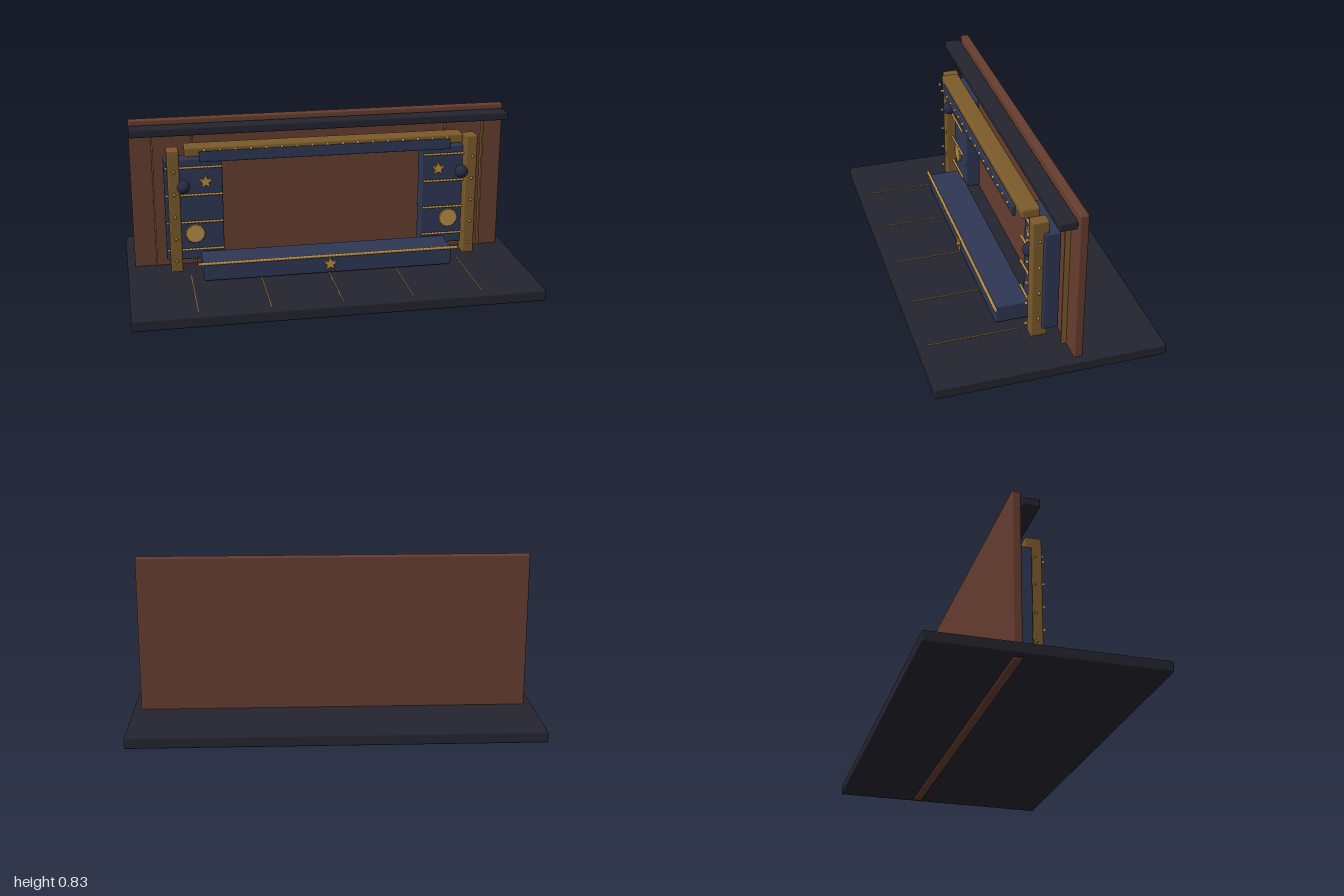
import * as THREE from 'three';
import { RoundedBoxGeometry } from 'three/addons/geometries/RoundedBoxGeometry.js';

const mat = (name, color) => Object.assign(new THREE.MeshStandardMaterial({ color }), { name });

export function createModel() {
  const model = new THREE.Group();
  model.name = 'stageFront';
  const wood = mat('red wood', 0x663d2f);
  const dark = mat('charcoal', 0x24242f);
  const blue = mat('navy blue', 0x2e3755);
  const ball = mat('deep navy', 0x242b45);
  const bronze = mat('bronze', 0x7a5a2a);
  const gold = mat('gold', 0xb98d45);

  const add = (name, geo, material, x = 0, y = 0, z = 0) => {
    const m = new THREE.Mesh(geo, material);
    m.name = name;
    m.position.set(x, y, z);
    model.add(m);
    return m;
  };
  // Softened box given by its limits on each axis
  const box = (name, material, x0, x1, y0, y1, z0, z1, r = 0.008) =>
    add(name, new RoundedBoxGeometry(x1 - x0, y1 - y0, z1 - z0, 2, r), material,
      (x0 + x1) / 2, (y0 + y1) / 2, (z0 + z1) / 2);

  // Beaded rope running along x
  const rope = (name, length, radius, x, y, z) => {
    const pts = [new THREE.Vector2(0, -length / 2)];
    const n = Math.round(length / 0.018) * 6;
    for (let i = 0; i <= n; i++) {
      const r = radius * (0.72 + 0.28 * Math.abs(Math.sin((i / 6) * Math.PI)));
      pts.push(new THREE.Vector2(r, -length / 2 + (length * i) / n));
    }
    pts.push(new THREE.Vector2(0, length / 2));
    add(name, new THREE.LatheGeometry(pts, 8), gold, x, y, z).rotation.z = -Math.PI / 2;
  };

  // Flat radial emblem with alternating outer and inner points
  const emblem = (points, outer, inner) => {
    const s = new THREE.Shape();
    for (let i = 0; i < points * 2; i++) {
      const a = Math.PI / 2 + (i * Math.PI) / points;
      const r = i % 2 ? inner : outer;
      s[i ? 'lineTo' : 'moveTo'](r * Math.cos(a), r * Math.sin(a));
    }
    s.closePath();
    return new THREE.ExtrudeGeometry(s, {
      depth: 0.006, bevelThickness: 0.002, bevelSize: 0.002, bevelSegments: 1,
    });
  };
  const star = emblem(5, 0.036, 0.016);
  const rosette = emblem(20, 0.049, 0.044);
  const stud = new THREE.SphereGeometry(0.008, 10, 8);

  // Floor, back wall and cornice
  box('floor', dark, -1, 1, 0.01, 0.065, -0.556, 0.556);
  box('backWall', wood, -0.96, 0.96, 0, 0.835, -0.155, -0.112);
  box('cornice', dark, -0.96, 0.96, 0.77, 0.812, -0.105, -0.02);

  // Inlaid floor lines
  for (let i = -2; i <= 2; i++) {
    add('floorLine', new THREE.BoxGeometry(0.005, 0.004, 0.45), bronze, i * 0.344, 0.065, 0.285);
  }

  for (const s of [-1, 1]) {
    // Wall battens
    for (const x of [0.65, 0.85]) {
      add('wallBatten', new THREE.BoxGeometry(0.008, 0.715, 0.026), bronze, s * x, 0.4225, -0.099);
    }
    // Side panel and post
    box('sidePanel', blue, s * 0.655 - 0.145, s * 0.655 + 0.145, 0.125, 0.655, -0.09, -0.012);
    box('post', bronze, s * 0.755 - 0.03, s * 0.755 + 0.03, 0.08, 0.715, -0.04, 0.04);
    // Panel trim
    for (const y of [0.185, 0.33, 0.473, 0.615]) rope('panelRope', 0.285, 0.007, s * 0.655, y, 0.005);
    add('panelStar', star, gold, s * 0.595, 0.535, -0.008);
    add('rosette', rosette, gold, s * 0.655, 0.265, -0.008);
    // Post studs and globe
    for (let i = 0; i < 5; i++) add('postStud', stud, gold, s * 0.755, 0.145 + i * 0.1165, 0.055);
    add('globe', new THREE.SphereGeometry(0.034, 24, 16), ball, s * 0.708, 0.525, 0.027);
  }

  // Top beam, valance and its studs
  box('topBeam', bronze, -0.7, 0.7, 0.685, 0.737, -0.025, 0.067, 0.012);
  box('valance', blue, -0.63, 0.63, 0.663, 0.717, 0.07, 0.083, 0.005);
  for (let i = -8; i <= 8; i++) add('valanceStud', stud, gold, i * 0.0757, 0.73, 0.102);

  // Front ledge with rope edge and star
  box('ledge', blue, -0.63, 0.63, 0.073, 0.17, -0.005, 0.165, 0.01);
  rope('ledgeRope', 1.32, 0.009, 0, 0.167, 0.169);
  add('ledgeStar', star, gold, 0, 0.125, 0.171);

  return model;
}
